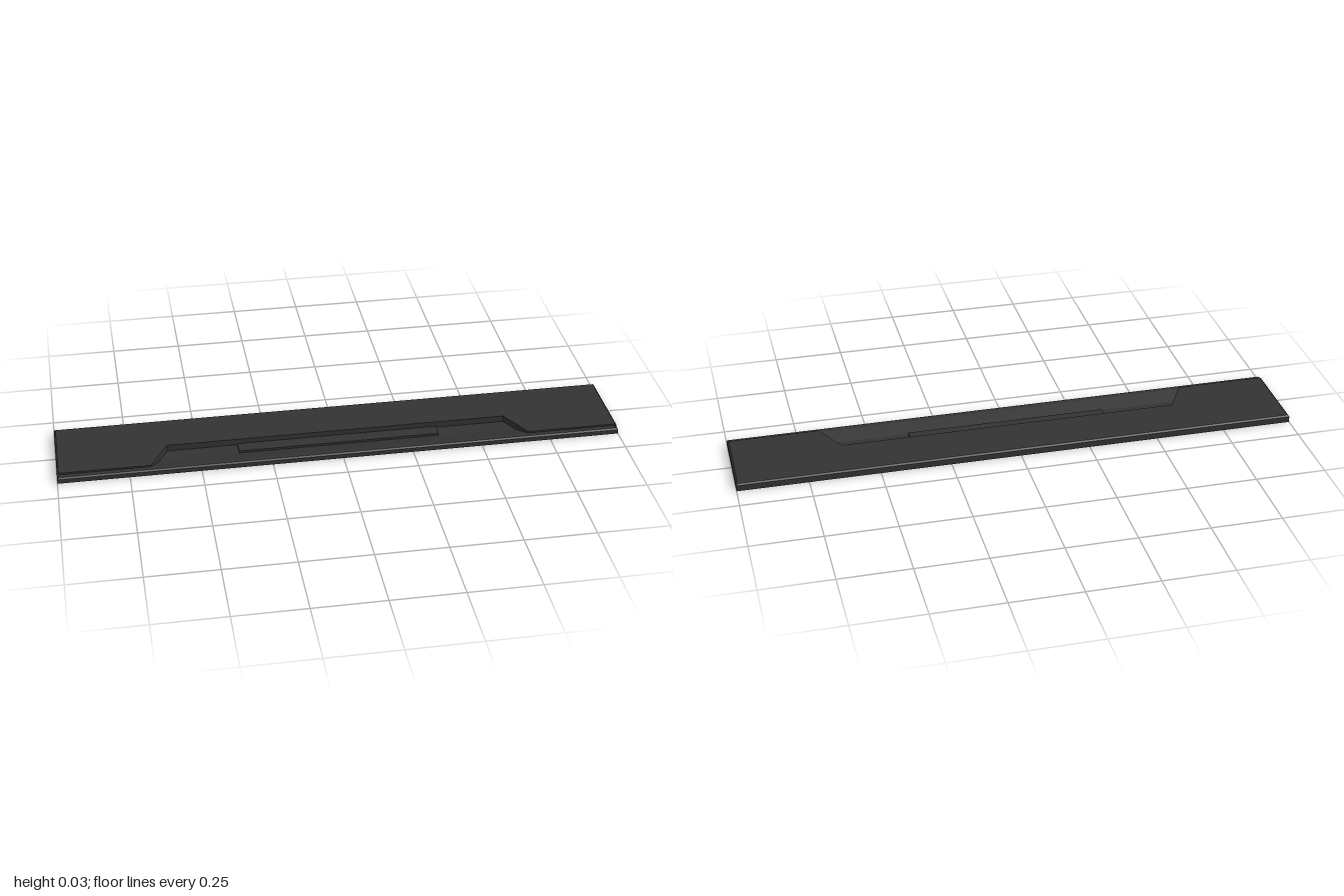
import * as THREE from 'three';

// Key levels and lines of the thin panel
const TOP = 0.027, LIP = 0.021, FLOOR = 0.004, BLOCK = 0.012, BEVEL = 0.005;
const BACK = -0.158, STEP = 0.135, FRONT = 0.158, INSET = 0.994;
const R0 = 0.015, R1 = 0.075; // recess back wall and floor fold
const halfWidth = z => 0.61 + (z - R0) * 0.53; // flared recess ends

const material = new THREE.MeshStandardMaterial({
  color: 0x333333, side: THREE.DoubleSide, flatShading: true,
});

// One mesh from planar convex polygons, each a list of [x, y, z] corners
function panel(name, polygons) {
  const points = [];
  for (const p of polygons) {
    for (let i = 1; i < p.length - 1; i++) points.push(...p[0], ...p[i], ...p[i + 1]);
  }
  const geometry = new THREE.BufferGeometry();
  geometry.setAttribute('position', new THREE.Float32BufferAttribute(points, 3));
  geometry.computeVertexNormals();
  const mesh = new THREE.Mesh(geometry, material);
  mesh.name = name;
  return mesh;
}

// Strip spanning the full width between two [halfWidth, y, z] lines
const span = (a, b) => [
  [-a[0], a[1], a[2]], [a[0], a[1], a[2]], [b[0], b[1], b[2]], [-b[0], b[1], b[2]],
];
// Mirrors a +x polygon to -x, keeping the outward winding
const both = p => [p, p.map(([x, y, z]) => [-x, y, z]).reverse()];

export function createModel() {
  const group = new THREE.Group();
  group.name = 'panel';
  const zb = BACK + BEVEL, zf = FRONT - BEVEL;
  const wb = halfWidth(R0), wm = halfWidth(R1), wf = halfWidth(STEP);

  // Top surface around the recess
  group.add(panel('topSurface', [
    span([INSET, TOP, R0], [INSET, TOP, zb]),
    ...both([[wb, TOP, R0], [wf, TOP, STEP], [INSET, TOP, STEP], [INSET, TOP, R0]]),
  ]));

  // Lower front lip and the step up to the top surface
  group.add(panel('frontLip', [
    span([INSET, LIP, zf], [INSET, LIP, STEP]),
    span([1, LIP - BEVEL, FRONT], [INSET, LIP, zf]),
    ...both([[wf, LIP, STEP], [1, LIP, STEP], [INSET, TOP, STEP], [wf, TOP, STEP]]),
  ]));

  // Outer walls, open underneath
  group.add(panel('outerWalls', [
    span([1, 0, FRONT], [1, LIP - BEVEL, FRONT]),
    span([1, TOP - BEVEL, BACK], [1, 0, BACK]),
    ...both([[1, 0, STEP], [1, 0, BACK], [1, TOP - BEVEL, BACK], [1, TOP - BEVEL, STEP]]),
    ...both([[1, 0, FRONT], [1, 0, STEP], [1, LIP - BEVEL, STEP], [1, LIP - BEVEL, FRONT]]),
  ]));

  // Narrow bevels along the top edges
  group.add(panel('edgeBevels', [
    span([INSET, TOP, zb], [1, TOP - BEVEL, BACK]),
    ...both([[1, TOP - BEVEL, STEP], [1, TOP - BEVEL, BACK], [INSET, TOP, zb], [INSET, TOP, STEP]]),
    ...both([[1, LIP - BEVEL, FRONT], [1, LIP - BEVEL, STEP], [INSET, LIP, STEP], [INSET, LIP, zf]]),
  ]));

  // Recess walls: vertical back and flared ends
  group.add(panel('recessWalls', [
    span([wb, FLOOR, R0], [wb, TOP, R0]),
    ...both([[wb, FLOOR, R0], [wm, FLOOR, R1], [wf, LIP, STEP], [wf, TOP, STEP], [wb, TOP, R0]]),
  ]));

  // Recess floor, flat at the back and ramping up to the lip, open under the block
  const bx = 0.36, b0 = 0.02, b1 = 0.07;
  const bw0 = halfWidth(b0), bw1 = halfWidth(b1);
  group.add(panel('recessFloor', [
    span([bw0, FLOOR, b0], [wb, FLOOR, R0]),
    ...both([[bx, FLOOR, b0], [bx, FLOOR, b1], [bw1, FLOOR, b1], [bw0, FLOOR, b0]]),
    span([wm, FLOOR, R1], [bw1, FLOOR, b1]),
    span([wf, LIP, STEP], [wm, FLOOR, R1]),
  ]));

  // Long raised block in the recess, hollow underneath
  group.add(panel('raisedBlock', [
    span([bx, BLOCK, b1], [bx, BLOCK, b0]),
    span([bx, FLOOR, b1], [bx, BLOCK, b1]),
    span([bx, BLOCK, b0], [bx, FLOOR, b0]),
    ...both([[bx, FLOOR, b1], [bx, FLOOR, b0], [bx, BLOCK, b0], [bx, BLOCK, b1]]),
  ]));

  return group;
}
